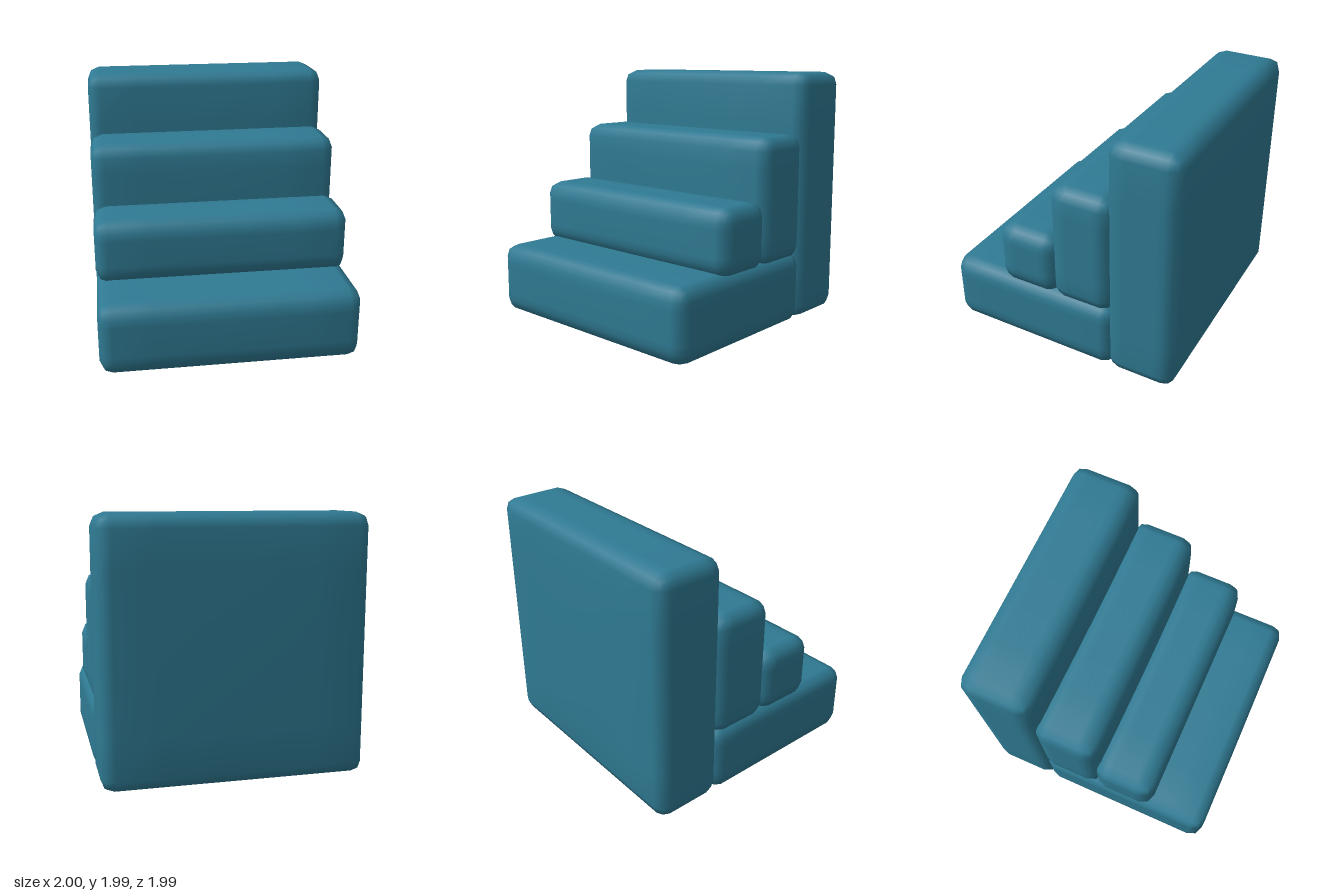
import * as THREE from 'three';
import { mergeVertices } from 'three/addons/utils/BufferGeometryUtils.js';

const RADIUS = 0.1;
const N = 8; // grid cells per side; the outermost ring forms the rounded edge

// Box with two-step rounded edges and softly puffed front and back faces
function cushionGeometry(w, h, d, puff) {
  const geo = new THREE.BoxGeometry(2, 2, 2, N, N, N);
  geo.deleteAttribute('uv');
  geo.deleteAttribute('normal');
  const pos = geo.attributes.position;
  const half = [w / 2 - RADIUS, h / 2 - RADIUS, d / 2 - RADIUS];
  const inner = 1 - 2 / N;
  const p = new THREE.Vector3();
  const dir = new THREE.Vector3();
  for (let i = 0; i < pos.count; i++) {
    p.fromBufferAttribute(pos, i);
    const g = p.toArray();
    dir.fromArray(g.map((v) => (Math.abs(v) > 0.99 ? Math.sign(v) : 0))).normalize();
    const f = g.map((v) => THREE.MathUtils.clamp(v / inner, -1, 1));
    p.set(f[0] * half[0], f[1] * half[1], f[2] * half[2]).addScaledVector(dir, RADIUS);
    p.z += Math.sign(dir.z) * puff * (1 - f[0] ** 2) * (1 - f[1] ** 2);
    pos.setXYZ(i, p.x, p.y, p.z);
  }
  const merged = mergeVertices(geo, 1e-4);
  merged.computeVertexNormals();
  return merged;
}

export function createModel() {
  const group = new THREE.Group();
  const teal = new THREE.MeshStandardMaterial({ color: 0x2f7a93 });
  teal.name = 'teal upholstery';

  // name, bottom, top, back, front, puff
  const cushions = [
    ['baseStep', 0, 0.565, -0.465, 0.99, 0.004],
    ['secondStep', 0.525, 1.04, 0.018, 0.522, 0.003],
    ['thirdStep', 0.525, 1.51, -0.46, 0.052, 0.009],
    ['backSlab', 0, 1.985, -0.982, -0.42, 0.012],
  ];
  for (const [name, y0, y1, z0, z1, puff] of cushions) {
    const mesh = new THREE.Mesh(cushionGeometry(2, y1 - y0, z1 - z0, puff), teal);
    mesh.name = name;
    mesh.position.set(0, (y0 + y1) / 2, (z0 + z1) / 2);
    group.add(mesh);
  }
  return group;
}
